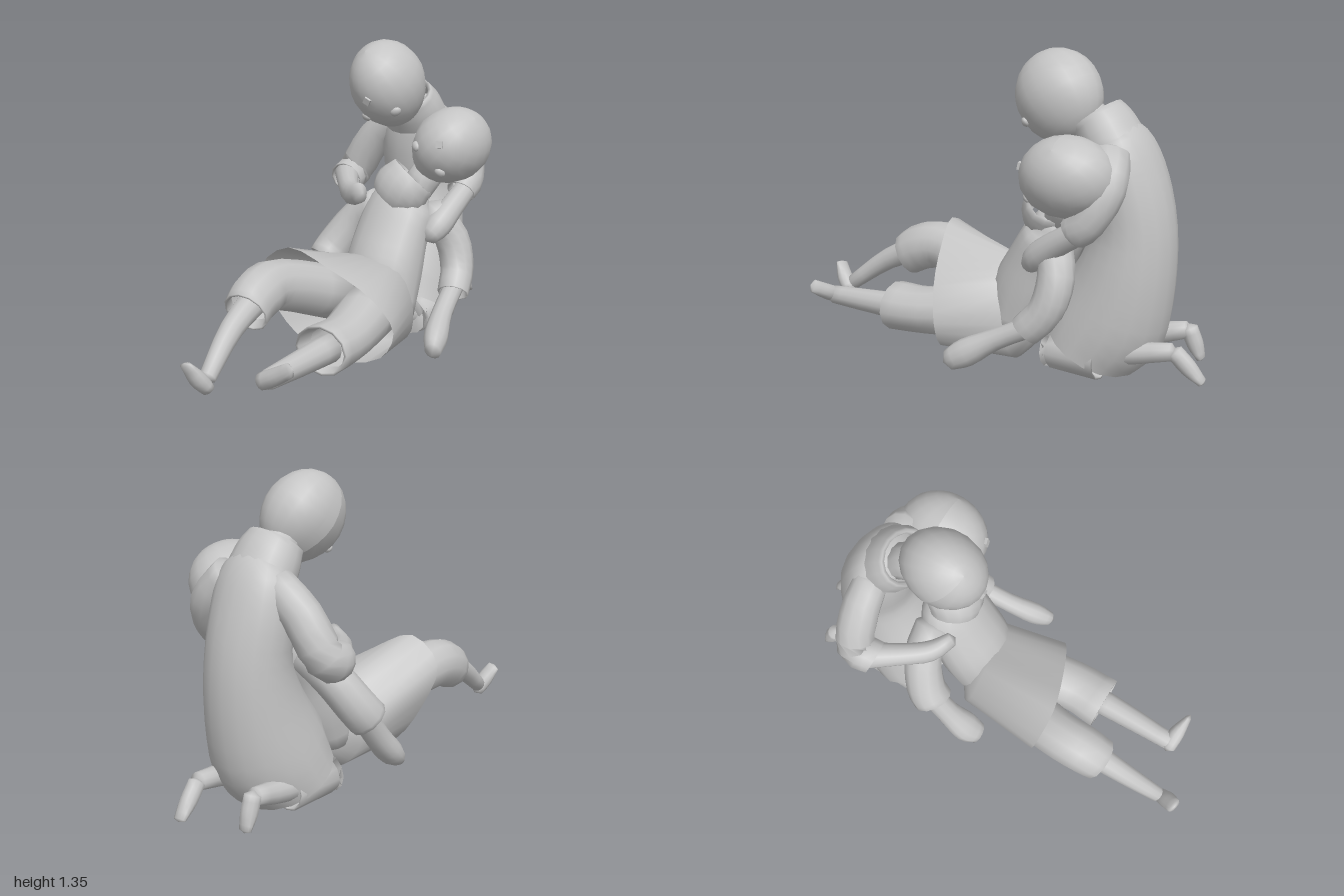
import * as THREE from 'three';

const clay = new THREE.MeshStandardMaterial({ color: 0xc4c4c4, side: THREE.DoubleSide });
clay.name = 'clay grey';
const V = (x, y, z) => new THREE.Vector3(x, y, z);

function add(parent, name, geometry) {
  const mesh = new THREE.Mesh(geometry, clay);
  mesh.name = name;
  parent.add(mesh);
  return mesh;
}

// Skin a list of equal-length rings; optional pole points close the ends.
function skin(rings, startPole, endPole) {
  const n = rings[0].length, pos = [], idx = [];
  rings.forEach(r => r.forEach(p => pos.push(p.x, p.y, p.z)));
  for (let i = 0; i < rings.length - 1; i++)
    for (let j = 0; j < n; j++) {
      const a = i * n + j, b = i * n + (j + 1) % n;
      idx.push(a, b, a + n, b, b + n, a + n);
    }
  const fan = (pole, base, flip) => {
    const c = pos.length / 3;
    pos.push(pole.x, pole.y, pole.z);
    for (let j = 0; j < n; j++) {
      const a = base + j, b = base + (j + 1) % n;
      flip ? idx.push(b, a, c) : idx.push(a, b, c);
    }
  };
  if (startPole) fan(startPole, 0, true);
  if (endPole) fan(endPole, (rings.length - 1) * n, false);
  const g = new THREE.BufferGeometry();
  g.setAttribute('position', new THREE.Float32BufferAttribute(pos, 3));
  g.setIndex(idx);
  g.computeVertexNormals();
  return g;
}

// Sweep an ellipse along points [x, y, z, halfWidth, halfDepth].
function limb(points, { start = true, end = true, sides = 12, hint = V(1, 0, 0), cuff = false } = {}) {
  const path = new THREE.CatmullRomCurve3(points.map(p => V(p[0], p[1], p[2])), false, 'catmullrom');
  const size = new THREE.CatmullRomCurve3(points.map(p => V(p[3], p[4] ?? p[3], 0)), false, 'catmullrom');
  const steps = (points.length - 1) * 3, rings = [];
  const ring = (u, k) => {
    const c = path.getPoint(u), t = path.getTangent(u), s = size.getPoint(u);
    const side = hint.clone().addScaledVector(t, -hint.dot(t)).normalize();
    const up = t.clone().cross(side);
    return Array.from({ length: sides }, (_, j) => {
      const a = j / sides * Math.PI * 2;
      return c.clone().addScaledVector(side, s.x * k * Math.cos(a)).addScaledVector(up, s.y * k * Math.sin(a));
    });
  };
  for (let i = 0; i <= steps; i++) rings.push(ring(i / steps, 1));
  // folded hem inside an open cuff
  if (cuff) rings.push(ring(1, 0.9), ring(1 - 1 / steps, 0.8));
  const pole = (u, sign) => path.getPoint(u).addScaledVector(path.getTangent(u), sign * size.getPoint(u).y * 0.6);
  return skin(rings, start && pole(0, -1), end && !cuff && pole(1, 1));
}

// Closed smooth loop through a few points.
const loop = pts => new THREE.CatmullRomCurve3(pts.map(p => V(...p)), true).getPoints(27).slice(0, 27);

// Egg-shaped head with eyes and a brow gem, oriented by its left and face directions.
function head(parent, name, centre, left, face, radii) {
  const g = new THREE.Group();
  g.name = name;
  const skull = new THREE.SphereGeometry(1, 18, 13), p = skull.attributes.position;
  for (let i = 0; i < p.count; i++) {
    const y = p.getY(i), k = y < 0 ? 1 + 0.12 * y : 1;
    p.setXYZ(i, p.getX(i) * k * radii[0], y * radii[1], p.getZ(i) * radii[2]);
  }
  skull.computeVertexNormals();
  add(g, 'skull', skull);
  const onFace = (x, y) => radii[2] * Math.sqrt(1 - (x / radii[0]) ** 2 - (y / radii[1]) ** 2);
  for (const s of [-1, 1]) {
    const eye = add(g, 'eye', new THREE.SphereGeometry(0.026, 10, 8));
    eye.scale.set(1, 0.8, 0.6);
    eye.position.set(s * 0.08, -0.035, onFace(0.08, 0.035) - 0.003);
    eye.rotation.y = s * 0.5;
  }
  const gem = add(g, 'brow gem', new THREE.BoxGeometry(0.03, 0.03, 0.016));
  gem.position.set(0, 0.07, onFace(0, 0.07));
  gem.rotation.set(-0.4, 0, Math.PI / 4);
  const f = V(...face).normalize(), e = V(...left);
  e.addScaledVector(f, -e.dot(f)).normalize();
  g.quaternion.setFromRotationMatrix(new THREE.Matrix4().makeBasis(e, f.clone().cross(e), f));
  g.position.set(...centre);
  parent.add(g);
}

function kneelingFigure() {
  const g = new THREE.Group();
  g.name = 'kneelingFigure';
  // robe, from hem to neck
  add(g, 'robe', limb([
    [-0.04, 0.12, -0.455, 0.245, 0.22], [-0.04, 0.25, -0.53, 0.232, 0.25], [-0.04, 0.45, -0.60, 0.205, 0.21],
    [-0.045, 0.65, -0.63, 0.185, 0.17], [-0.045, 0.84, -0.6, 0.19, 0.15], [-0.035, 0.97, -0.57, 0.175, 0.12],
    [-0.03, 1.04, -0.53, 0.11, 0.09]], { start: false, sides: 18 }));
  add(g, 'neck', limb([[-0.03, 0.98, -0.53, 0.08], [-0.02, 1.12, -0.38, 0.08]]));
  add(g, 'collar', limb([[-0.03, 0.99, -0.53, 0.155, 0.13], [-0.03, 1.05, -0.49, 0.145, 0.125],
    [-0.03, 1.1, -0.45, 0.125, 0.11]], { start: false, cuff: true, sides: 16 }));
  head(g, 'kneelingHead', [-0.008, 1.168, -0.28], [0.97, 0.2, 0.03], [0.15, -0.62, 0.76], [0.16, 0.2, 0.19]);
  // right arm bends across the lap, left arm wraps round the other's shoulder
  add(g, 'rightSleeve', limb([[-0.14, 0.97, -0.56, 0.075], [-0.27, 0.86, -0.55, 0.085],
    [-0.365, 0.7, -0.52, 0.085], [-0.355, 0.67, -0.43, 0.08]], { cuff: true, hint: V(0, 1, 0) }));
  add(g, 'rightForearm', limb([[-0.38, 0.69, -0.47, 0.06], [-0.27, 0.67, -0.33, 0.048],
    [-0.19, 0.65, -0.25, 0.055, 0.045], [-0.1, 0.67, -0.2, 0.045, 0.03]], { hint: V(0, 1, 0) }));
  add(g, 'leftSleeve', limb([[0.09, 0.97, -0.58, 0.085], [0.19, 0.85, -0.61, 0.085],
    [0.24, 0.72, -0.56, 0.075], [0.245, 0.67, -0.5, 0.068]], { cuff: true, hint: V(0, 1, 0) }));
  add(g, 'leftForearm', limb([[0.25, 0.69, -0.55, 0.05], [0.245, 0.61, -0.42, 0.055],
    [0.23, 0.54, -0.33, 0.062, 0.06], [0.21, 0.495, -0.28, 0.045, 0.04]]));
  // folded legs: knees forward, feet trailing behind
  for (const [side, knee, shin, ankle, heel, toe] of [
    ['left', 0.1, 0.07, 0.03, [0.025, 0.17, -0.86], [0, 0.055, -0.975]],
    ['right', -0.18, -0.21, -0.24, [-0.24, 0.18, -0.8], [-0.25, 0.05, -0.855]]]) {
    add(g, side + 'Knee', limb([[knee, 0.1, -0.31, 0.085], [knee, 0.1, -0.56, 0.09]], { cuff: true }));
    add(g, side + 'Shin', limb([[knee, 0.1, -0.34, 0.065], [shin, 0.13, -0.62, 0.052],
      [ankle, 0.17, heel[2] + 0.01, 0.038]]));
    add(g, side + 'Foot', limb([[...heel, 0.036, 0.036], [(heel[0] + toe[0]) / 2, 0.11, (heel[2] + toe[2]) / 2, 0.036, 0.036],
      [...toe, 0.03, 0.016]]));
  }
  return g;
}

function recliningFigure() {
  const g = new THREE.Group();
  g.name = 'recliningFigure';
  add(g, 'torso', limb([
    [0.05, 0.16, -0.13, 0.17, 0.13], [0.04, 0.33, -0.18, 0.18, 0.16], [0.04, 0.48, -0.24, 0.175, 0.135],
    [0.05, 0.61, -0.31, 0.16, 0.12], [0.08, 0.7, -0.34, 0.09, 0.08]], { sides: 16 }));
  add(g, 'neck', limb([[0.07, 0.64, -0.33, 0.075], [0.15, 0.8, -0.42, 0.075]]));
  // thick cowl round the neck
  add(g, 'cowl', limb([[0.025, 0.645, -0.275, 0.115, 0.105], [0.06, 0.695, -0.29, 0.135, 0.122],
    [0.1, 0.75, -0.325, 0.118, 0.11]], { start: false, cuff: true, sides: 14 }));
  head(g, 'recliningHead', [0.217, 0.885, -0.457], [0.737, -0.675, 0], [0.05, -0.08, 1], [0.168, 0.182, 0.205]);
  // overshirt skirt with a slanting open hem
  add(g, 'skirt', skin([
    loop([[-0.24, 0.42, 0.33], [-0.09, 0.53, 0.33], [0.08, 0.45, 0.27], [0.25, 0.32, 0.19], [0.32, 0.18, 0.14],
      [0.26, 0.06, 0.15], [0.02, 0.015, 0.19], [-0.12, 0.08, 0.2], [-0.19, 0.22, 0.28]]),
    loop([[-0.17, 0.27, -0.06], [-0.07, 0.42, -0.05], [0.06, 0.42, -0.06], [0.18, 0.37, -0.1], [0.23, 0.2, -0.14],
      [0.18, 0.05, -0.17], [0.03, 0.02, -0.15], [-0.1, 0.05, -0.14], [-0.17, 0.15, -0.1]])], null, V(0.04, 0.18, -0.26)));
  // shorts
  add(g, 'rightShortsLeg', limb([[-0.06, 0.27, 0.05, 0.12], [-0.12, 0.37, 0.36, 0.11],
    [-0.115, 0.36, 0.5, 0.11], [-0.1, 0.31, 0.595, 0.1]], { cuff: true }));
  add(g, 'leftShortsLeg', limb([[0.1, 0.2, 0.02, 0.13], [0.17, 0.17, 0.28, 0.12, 0.105],
    [0.178, 0.162, 0.455, 0.128, 0.108]], { cuff: true }));
  // bare legs and feet
  add(g, 'rightShin', limb([[-0.11, 0.37, 0.48, 0.065], [-0.085, 0.27, 0.7, 0.05], [-0.045, 0.13, 0.89, 0.036]]));
  add(g, 'rightFoot', limb([[-0.03, 0.09, 0.905, 0.034, 0.028], [-0.045, 0.14, 0.945, 0.04, 0.034],
    [-0.07, 0.205, 0.985, 0.034, 0.014]]));
  add(g, 'leftShin', limb([[0.18, 0.16, 0.4, 0.062], [0.19, 0.155, 0.62, 0.052], [0.195, 0.15, 0.805, 0.042]]));
  add(g, 'leftFoot', limb([[0.17, 0.14, 0.815, 0.034, 0.036], [0.24, 0.175, 0.815, 0.036, 0.036],
    [0.32, 0.222, 0.825, 0.014, 0.03]], { hint: V(0, 0, 1) }));
  // drooping arms
  add(g, 'rightSleeve', limb([[-0.07, 0.6, -0.32, 0.085], [-0.19, 0.52, -0.3, 0.085],
    [-0.27, 0.4, -0.24, 0.088], [-0.29, 0.335, -0.19, 0.09]], { cuff: true }));
  add(g, 'rightForearm', limb([[-0.28, 0.38, -0.23, 0.055], [-0.28, 0.23, -0.12, 0.055],
    [-0.27, 0.13, -0.03, 0.07, 0.055], [-0.25, 0.075, 0.03, 0.05, 0.035]]));
  add(g, 'leftSleeve', limb([[0.17, 0.6, -0.37, 0.075], [0.245, 0.47, -0.425, 0.078],
    [0.29, 0.34, -0.405, 0.075], [0.32, 0.245, -0.325, 0.07]], { cuff: true }));
  add(g, 'leftForearm', limb([[0.3, 0.28, -0.38, 0.045], [0.345, 0.19, -0.2, 0.045],
    [0.39, 0.12, -0.08, 0.052, 0.06], [0.42, 0.08, -0.01, 0.035, 0.045]]));
  return g;
}

export function createModel() {
  const model = new THREE.Group();
  model.name = 'embracingFigures';
  model.add(kneelingFigure(), recliningFigure());
  return model;
}
